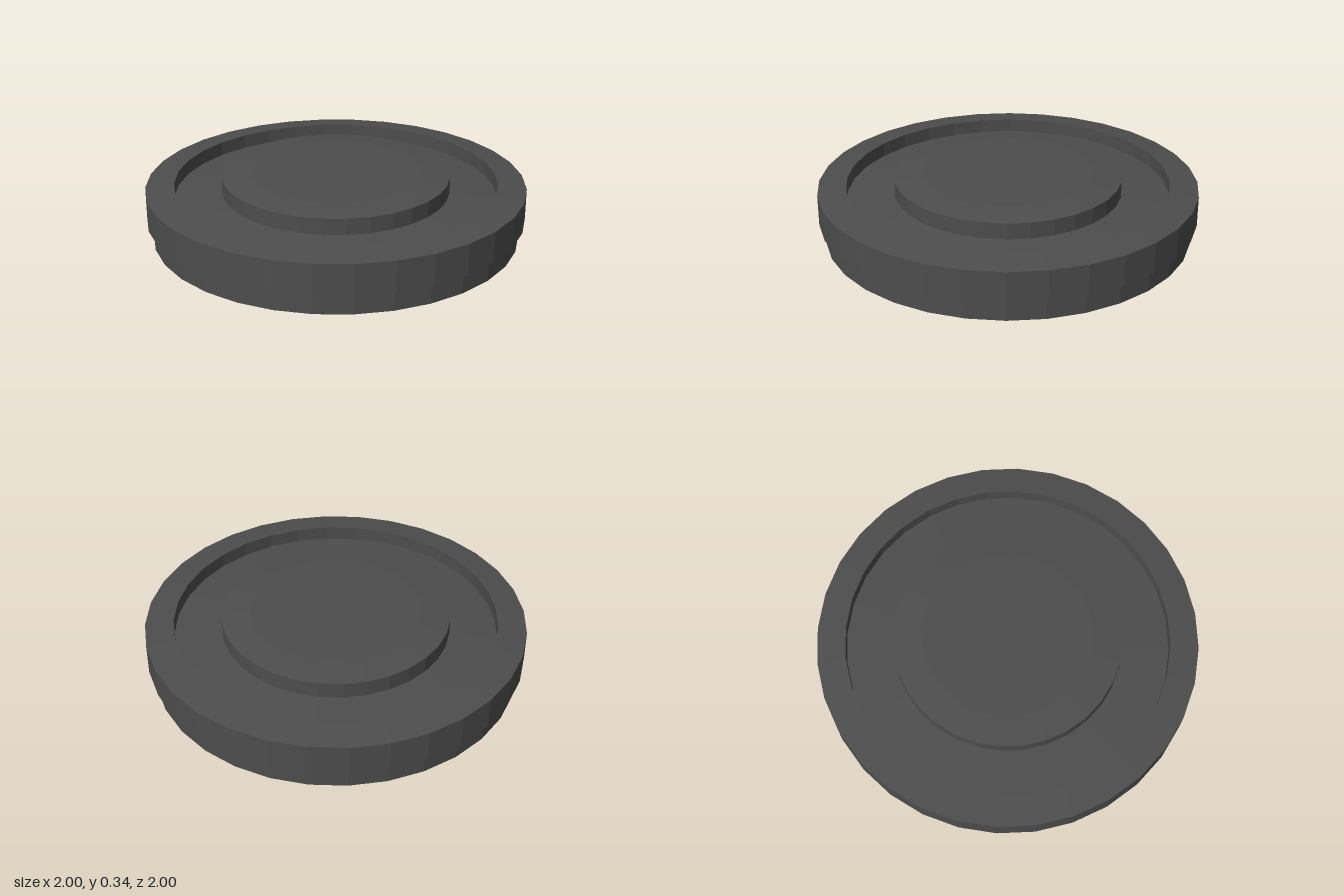
import * as THREE from 'three';

const SIDES = 32;

export function createModel() {
  const group = new THREE.Group();
  const darkGrey = new THREE.MeshStandardMaterial({ color: 0x4d4d4d, flatShading: true });
  darkGrey.name = 'darkGrey';

  // Revolves a [radius, height] profile, listed from the underside outward and up
  const addTurned = (name, profile) => {
    const points = profile.map(([r, y]) => new THREE.Vector2(r, y));
    const mesh = new THREE.Mesh(new THREE.LatheGeometry(points, SIDES), darkGrey);
    mesh.name = name;
    group.add(mesh);
  };

  // Slightly narrower foot with a closed underside
  addTurned('base', [[0, 0], [0.97, 0], [0.97, 0.11]]);

  // Overhanging outer ring, sloped lip, inner wall and sunken channel floor
  addTurned('rim', [
    [0.97, 0.11], [1, 0.11], [1, 0.273], [0.85, 0.29], [0.85, 0.215], [0.6, 0.235],
  ]);

  // Raised centre with a gently bevelled top
  addTurned('centreDisc', [[0.6, 0.235], [0.6, 0.32], [0.45, 0.338], [0, 0.338]]);

  return group;
}
